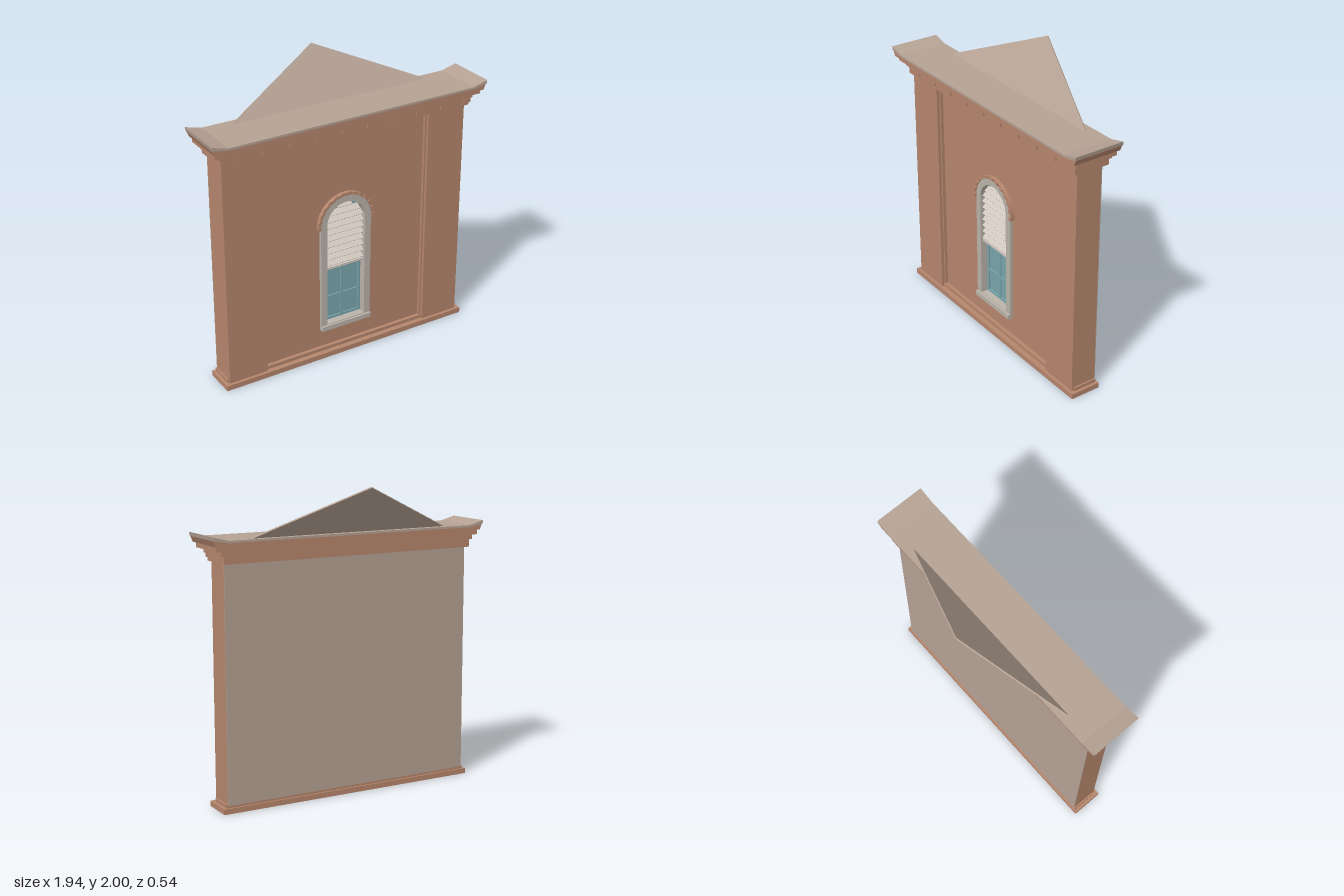
import * as THREE from 'three';

const mat = (name, color) => {
  const m = new THREE.MeshStandardMaterial({ color });
  m.name = name;
  return m;
};

export function createModel() {
  const brick = mat('brick', 0xb6866d);
  const taupe = mat('taupe roofing', 0xb5a294);
  const stone = mat('grey stone', 0xbab4aa);
  const slatPaint = mat('pale shutter', 0xd0c6be);
  const teal = mat('teal window', 0x79a7ad);

  const group = new THREE.Group();
  group.name = 'facade';
  const add = (name, geo, m) => {
    const mesh = new THREE.Mesh(geo, m);
    mesh.name = name;
    group.add(mesh);
    return mesh;
  };
  // box given by its min and max on each axis
  const box = (name, m, x0, x1, y0, y1, z0, z1) => {
    const g = new THREE.BoxGeometry(x1 - x0, y1 - y0, z1 - z0);
    g.translate((x0 + x1) / 2, (y0 + y1) / 2, (z0 + z1) / 2);
    return add(name, g, m);
  };
  // shape in the xy plane extruded from z0 to z1
  const slab = (name, m, shape, z0, z1) => {
    const g = new THREE.ExtrudeGeometry(shape, { depth: z1 - z0, bevelEnabled: false, curveSegments: 20 });
    g.translate(0, 0, z0);
    return add(name, g, m);
  };
  const poly = (pts) => new THREE.Shape(pts.map(([x, y]) => new THREE.Vector2(x, y)));
  const spring = 0.94; // height where the window arch starts
  const arched = (Type, r, y0) => {
    const s = new Type();
    s.moveTo(-r, y0);
    s.lineTo(r, y0);
    s.lineTo(r, spring);
    s.absarc(0, spring, r, 0, Math.PI, false);
    s.lineTo(-r, y0);
    return s;
  };

  // Wall: core, back face, recessed panel with the window opening
  box('wallCore', brick, -0.87, 0.87, 0.03, 1.58, 0, 0.09);
  box('backFace', taupe, -0.87, 0.87, 0.05, 1.565, -0.006, 0);
  const panel = poly([[-0.6, 0.03], [0.6, 0.03], [0.6, 1.58], [-0.6, 1.58]]);
  panel.holes.push(arched(THREE.Path, 0.15, 0.2));
  slab('recessedPanel', brick, panel, 0.09, 0.135);
  for (const s of [-1, 1]) {
    const span = (a, b) => (s > 0 ? [a, b] : [-b, -a]);
    box('pilaster', brick, ...span(0.597, 0.87), 0.03, 1.58, 0.09, 0.175);
    box('panelBead', brick, ...span(0.585, 0.597), 0.055, 1.58, 0.09, 0.155);
  }

  // Base
  box('plinth', brick, -0.9, 0.9, 0, 0.035, -0.015, 0.195);
  box('plinthStep', brick, -0.88, 0.88, 0.035, 0.058, -0.003, 0.16);

  // Cornice courses: half width, bottom, top, back, front
  [[0.885, 1.557, 1.606, -0.04, 0.2],
   [0.905, 1.606, 1.637, -0.045, 0.212],
   [0.94, 1.637, 1.672, -0.05, 0.242]].forEach(([w, y0, y1, z0, z1]) =>
    box('corniceCourse', brick, -w, w, y0, y1, z0, z1));
  for (let i = 0; i < 10; i++) {
    const x = -0.77 + i * 0.182;
    box('dentil', brick, x - 0.024, x + 0.024, 1.579, 1.606, 0.2, 0.211);
  }
  slab('corniceCrown', brick, poly([[-0.95, 1.668], [0.95, 1.668], [0.968, 1.708],
    [0.865, 1.69], [-0.865, 1.69], [-0.968, 1.708]]), -0.065, 0.265);
  slab('corniceTop', taupe, poly([[-0.968, 1.706], [-0.865, 1.688], [0.865, 1.688], [0.968, 1.706],
    [0.972, 1.73], [0.865, 1.702], [-0.865, 1.702], [-0.972, 1.73]]), -0.07, 0.27);

  // Sloping triangular roof plate, leaning back
  const rise = 0.3, run = 0.25;
  const roof = slab('roofPlate', taupe, poly([[-0.705, 0], [0.705, 0], [0, Math.hypot(rise, run)]]), -0.01, 0);
  roof.position.set(0, 1.7, -0.012);
  roof.rotation.x = -Math.atan2(run, rise);

  // Window surround and sill
  const surround = arched(THREE.Shape, 0.185, 0.2);
  surround.holes.push(arched(THREE.Path, 0.14, 0.222));
  slab('windowSurround', stone, surround, 0.09, 0.155);
  box('windowSill', stone, -0.185, 0.185, 0.185, 0.217, 0.13, 0.17);

  // Arched brick hood with a ring of small blocks
  const hood = new THREE.Shape();
  hood.absarc(0, spring, 0.205, 0, Math.PI, false);
  hood.absarc(0, spring, 0.185, Math.PI, 0, true);
  slab('archHood', brick, hood, 0.13, 0.158);
  for (let i = 0; i <= 12; i++) {
    const a = (i / 12) * Math.PI;
    const block = add('hoodBlock', new THREE.BoxGeometry(0.018, 0.025, 0.034), brick);
    block.position.set(Math.cos(a) * 0.196, spring + Math.sin(a) * 0.196, 0.148);
    block.rotation.z = a;
  }

  // Glazing with sash bars
  slab('glazing', teal, arched(THREE.Shape, 0.148, 0.205), 0.088, 0.096);
  for (const x of [-0.132, 0, 0.132]) box('sashStile', teal, x - 0.009, x + 0.009, 0.222, 0.62, 0.094, 0.106);
  for (const y of [0.23, 0.39, 0.612]) box('sashRail', teal, -0.14, 0.14, y - 0.009, y + 0.009, 0.094, 0.105);

  // Louvred blind: tilted slats following the arch
  box('blindBottomRail', slatPaint, -0.138, 0.138, 0.617, 0.632, 0.1, 0.142);
  for (let i = 0; i < 10; i++) {
    const y = 0.656 + i * 0.0445;
    const over = Math.max(0, y + 0.012 - spring);
    const w = Math.sqrt(Math.max(0.0004, 0.14 ** 2 - over ** 2));
    const slat = add('blindSlat', new THREE.BoxGeometry(2 * w - 0.002, 0.042, 0.005), slatPaint);
    slat.position.set(0, y, 0.125);
    slat.rotation.x = -0.9;
  }

  return group;
}
